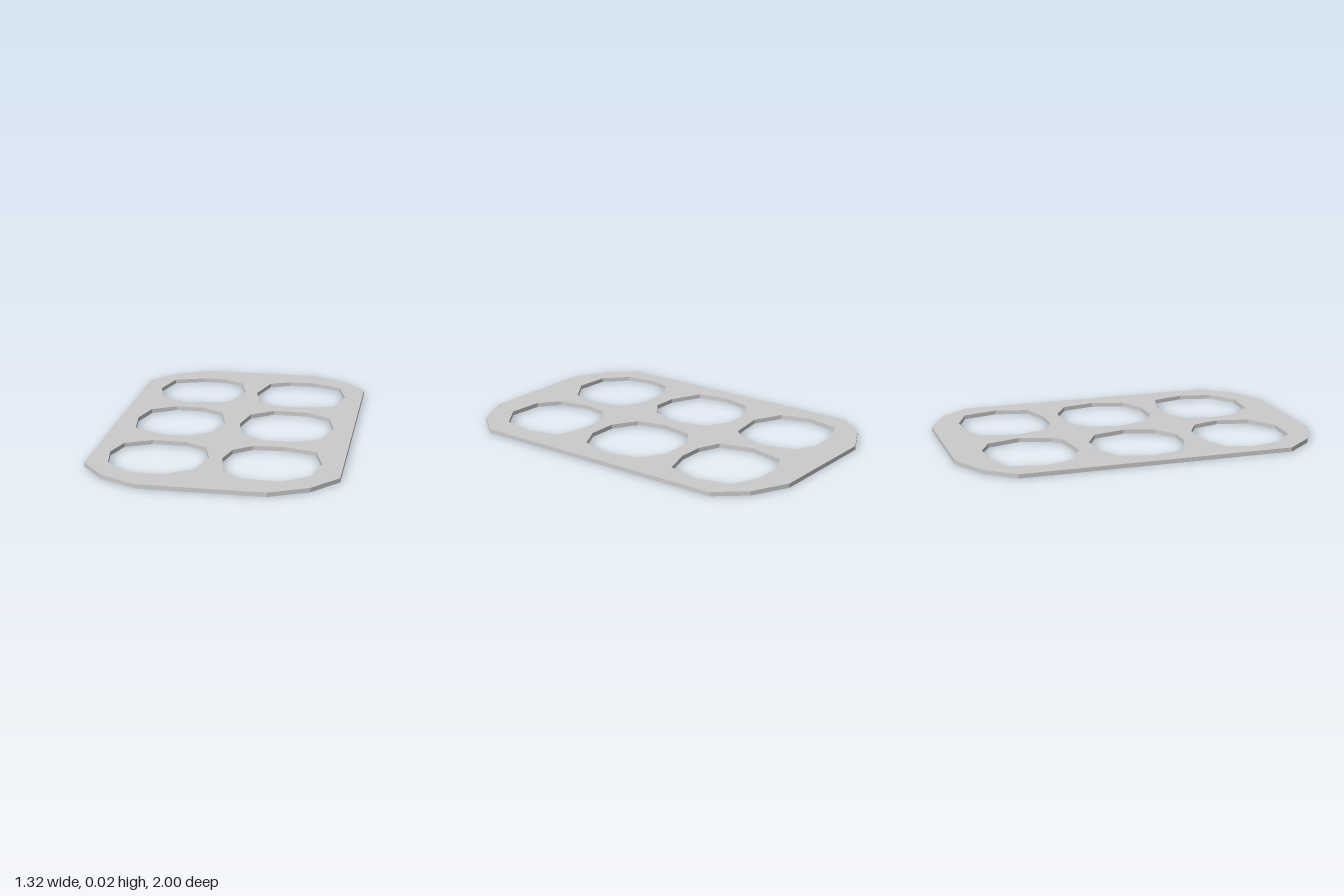
import * as THREE from 'three';

const THICKNESS = 0.023;

// Corner of the plate, mirrored to all four quadrants (x, z)
const corner = [[0.33, 1], [0.53, 0.9], [0.66, 0.745]];

// Hand-cut ten-sided openings, as x, z pairs
const openings = [
  [-0.34, -0.83, -0.2, -0.83, -0.09, -0.77, -0.04, -0.59, -0.09, -0.42, -0.14, -0.37, -0.35, -0.34, -0.51, -0.42, -0.555, -0.585, -0.51, -0.77],
  [0.2, -0.84, 0.36, -0.84, 0.51, -0.775, 0.56, -0.585, 0.51, -0.4, 0.345, -0.35, 0.205, -0.35, 0.08, -0.4, 0.03, -0.585, 0.085, -0.79],
  [-0.39, -0.25, -0.23, -0.25, -0.105, -0.18, -0.06, 0, -0.11, 0.17, -0.22, 0.25, -0.36, 0.25, -0.53, 0.17, -0.56, -0.01, -0.52, -0.17],
  [0.18, -0.26, 0.375, -0.26, 0.51, -0.18, 0.55, 0, 0.5, 0.18, 0.365, 0.25, 0.2, 0.25, 0.065, 0.17, 0.025, 0, 0.06, -0.17],
  [-0.39, 0.35, -0.2, 0.35, -0.085, 0.415, -0.04, 0.565, -0.08, 0.745, -0.23, 0.845, -0.42, 0.835, -0.54, 0.72, -0.57, 0.565, -0.53, 0.42],
  [0.155, 0.35, 0.33, 0.34, 0.5, 0.385, 0.55, 0.565, 0.51, 0.745, 0.37, 0.845, 0.175, 0.835, 0.065, 0.745, 0.03, 0.565, 0.06, 0.43],
];

// Shape y becomes -z once the plate is laid flat
const toPoints = (flat) =>
  Array.from({ length: flat.length / 2 }, (_, i) => new THREE.Vector2(flat[2 * i], -flat[2 * i + 1]));

export function createModel() {
  const group = new THREE.Group();
  group.name = 'sixHolePlate';

  // Plate outline with chamfered corners
  const reversed = [...corner].reverse();
  const outline = [
    ...corner,
    ...reversed.map(([x, z]) => [x, -z]),
    ...corner.map(([x, z]) => [-x, -z]),
    ...reversed.map(([x, z]) => [-x, z]),
  ];
  const shape = new THREE.Shape(toPoints(outline.flat()));
  for (const opening of openings) shape.holes.push(new THREE.Path(toPoints(opening)));

  const geometry = new THREE.ExtrudeGeometry(shape, { depth: THICKNESS, bevelEnabled: false });
  geometry.rotateX(-Math.PI / 2);

  const plate = new THREE.Mesh(
    geometry,
    new THREE.MeshStandardMaterial({ color: 0xcccccc, flatShading: true })
  );
  plate.name = 'plate';
  group.add(plate);
  return group;
}
